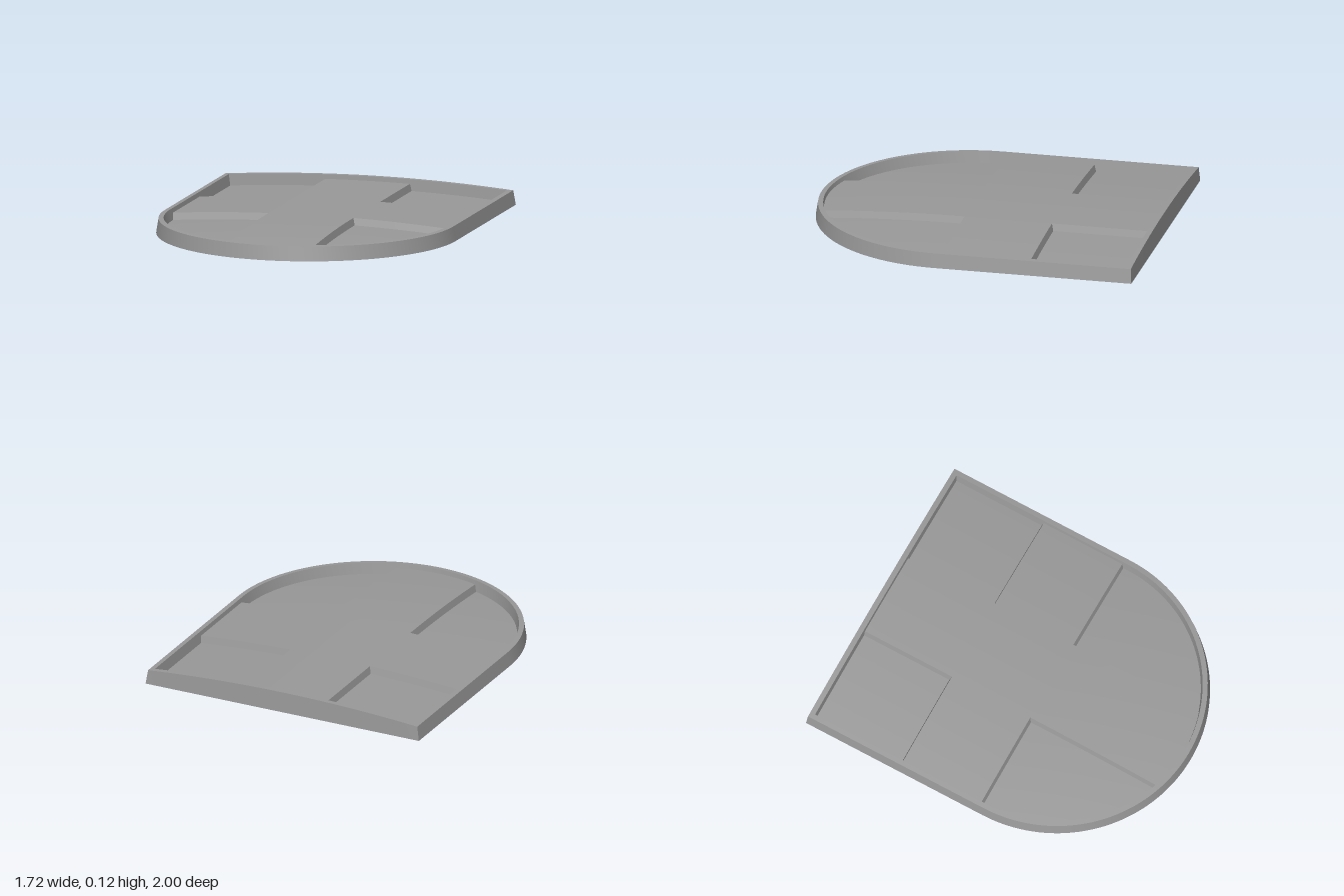
import * as THREE from 'three';
import { ParametricGeometry } from 'three/addons/geometries/ParametricGeometry.js';
import { toCreasedNormals } from 'three/addons/utils/BufferGeometryUtils.js';

const R = 0.862, ZC = 0.138;        // radius and centre of the rounded front
const INNER = 0.815, BACK = -0.96;  // limits of the cross, inside the rim
const FOOT = 0.81;                  // inner foot of the rim
const ARM = 0.25, ARM_FRONT = 0.105, ARM_BACK = -0.4;
const lerp = THREE.MathUtils.lerp;

// Gently domed heights: rim, cross and sunken field share one curve.
const dome = (x, z) => -0.051 * (x * x + Math.max(0, z - ZC) ** 2);
const rimY = (x, z) => 0.12 + dome(x, z);
const crossY = (x, z) => 0.095 + dome(x, z);
const fieldY = (x, z) => 0.055 + dome(x, z);
const frontZ = (x, r = INNER) => ZC + Math.sqrt(Math.max(0, r * r - x * x));

export function createModel() {
  const model = new THREE.Group();
  const material = new THREE.MeshStandardMaterial({ color: 0x999999, side: THREE.DoubleSide });

  const addSurface = (name, fn, nu, nv, parent = model) => {
    const geometry = toCreasedNormals(new ParametricGeometry(fn, nu, nv), 0.5);
    const mesh = new THREE.Mesh(geometry, material);
    mesh.name = name;
    parent.add(mesh);
  };

  // Closed shield outline of a given half width and back position
  const outline = (r, zb) => {
    const pts = [];
    for (let i = 0; i < 12; i++) pts.push([-r, lerp(zb, ZC, i / 12)]);
    for (let i = 0; i < 72; i++) {
      const a = Math.PI * i / 72;
      pts.push([-r * Math.cos(a), ZC + r * Math.sin(a)]);
    }
    for (let i = 0; i < 12; i++) pts.push([r, lerp(ZC, zb, i / 12)]);
    for (let i = 0; i <= 32; i++) pts.push([lerp(r, -r, i / 32), zb]);
    return pts;
  };

  // Rim: sloped outer wall, arched top, sloped inner wall
  const rings = [
    [outline(R, -1), () => 0],
    [outline(R - 0.013, -0.994), rimY],
    [outline(0.82, -0.964), rimY],
    [outline(FOOT, BACK), fieldY],
  ];
  const count = rings[0][0].length - 1;
  addSurface('rim', (u, v, target) => {
    const i = THREE.MathUtils.clamp(Math.round(u * count), 0, count);
    const k = THREE.MathUtils.clamp(Math.round(v * 3), 0, 3);
    const [x, z] = rings[k][0][i];
    target.set(x, rings[k][1](x, z), z);
  }, count, 3);

  // Sunken domed field
  addSurface('field', (u, v, target) => {
    const x = -FOOT * Math.cos(Math.PI * v);
    const z = lerp(BACK, frontZ(x, FOOT), u);
    target.set(x, fieldY(x, z), z);
  }, 40, 72);

  // Raised cross: long bar, two side arms and their steps
  const cross = new THREE.Group();
  cross.name = 'cross';
  model.add(cross);
  addSurface('crossBar', (u, v, target) => {
    const x = lerp(-ARM, ARM, v), z = lerp(BACK, frontZ(x), u);
    target.set(x, crossY(x, z), z);
  }, 40, 12, cross);

  const d = 0.01; // draft of the steps
  const steps = [ // top start, top end, foot start, foot end
    [[ARM, frontZ(ARM)], [ARM, ARM_FRONT], [ARM + d, frontZ(ARM + d, FOOT)], [ARM + d, ARM_FRONT + d]],
    [[ARM, ARM_FRONT], [INNER, ARM_FRONT], [ARM + d, ARM_FRONT + d], [FOOT, ARM_FRONT + d]],
    [[INNER, ARM_BACK], [ARM, ARM_BACK], [FOOT, ARM_BACK - d], [ARM + d, ARM_BACK - d]],
    [[ARM, ARM_BACK], [ARM, BACK], [ARM + d, ARM_BACK - d], [ARM + d, BACK]],
  ];
  for (const [side, s] of [['left', 1], ['right', -1]]) {
    const flip = (v) => (s > 0 ? v : 1 - v);
    addSurface(side + 'Arm', (u, v, target) => {
      const x = s * lerp(ARM, INNER, flip(v)), z = lerp(ARM_BACK, ARM_FRONT, u);
      target.set(x, crossY(x, z), z);
    }, 6, 16, cross);
    for (const [topA, topB, footA, footB] of steps) {
      addSurface(side + 'Step', (u, v, target) => {
        const w = flip(v);
        const tx = lerp(topA[0], topB[0], u), tz = lerp(topA[1], topB[1], u);
        const fx = lerp(footA[0], footB[0], u), fz = lerp(footA[1], footB[1], u);
        target.set(s * lerp(fx, tx, w), lerp(fieldY(fx, fz), crossY(tx, tz), w), lerp(fz, tz, w));
      }, 24, 1, cross);
    }
  }
  return model;
}
